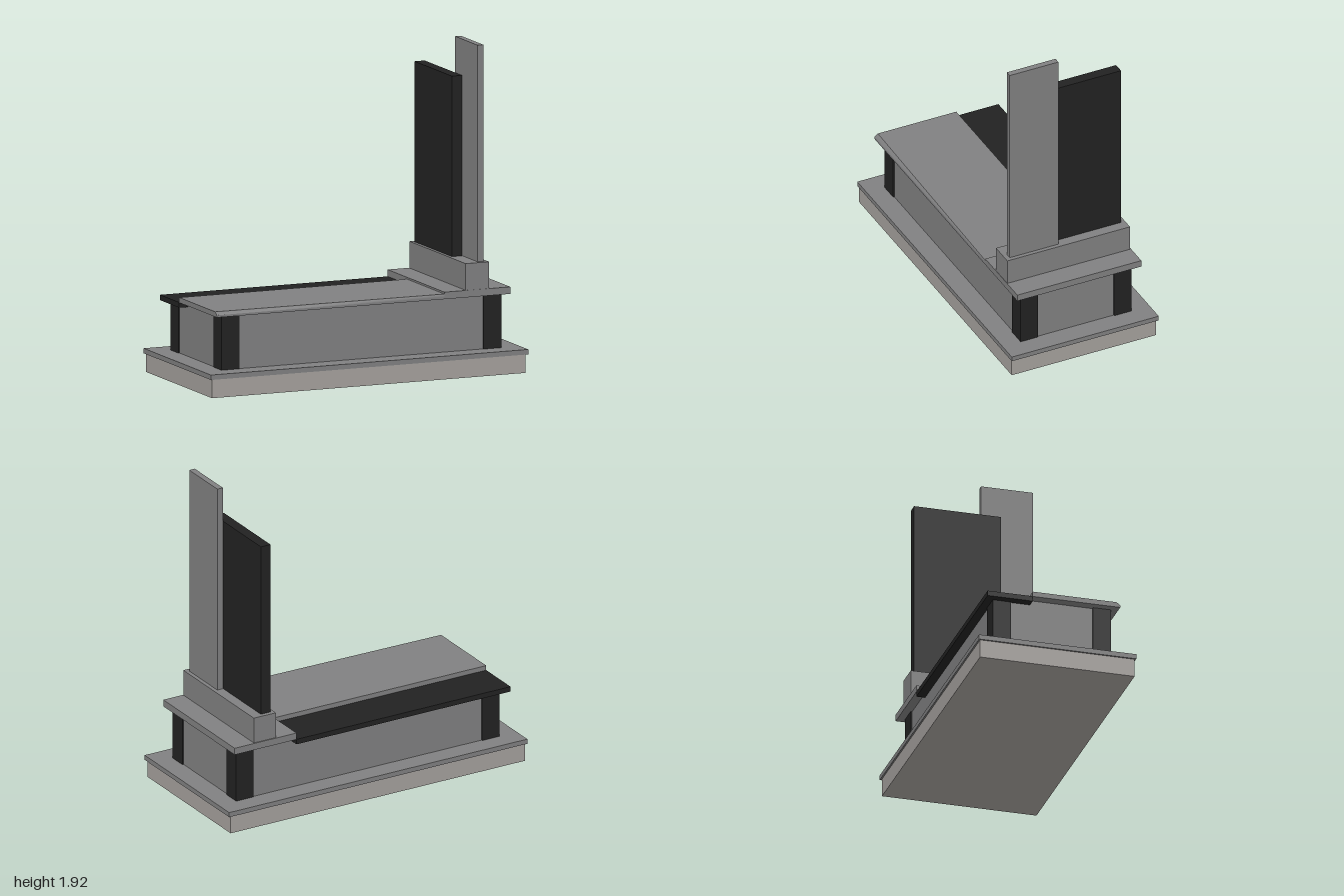
import * as THREE from 'three';

export function createModel() {
  const root = new THREE.Group();
  root.name = 'monument';
  const make = (name, color) => {
    const m = new THREE.MeshStandardMaterial({ color });
    m.name = name;
    return m;
  };
  const grey = make('grey granite', 0x808081);
  const black = make('black granite', 0x222222);
  const stone = make('pale foundation stone', 0xa5a19d);

  // Box given by its limits on each axis
  function block(name, mat, [x0, x1], [y0, y1], [z0, z1]) {
    const g = new THREE.BoxGeometry(x1 - x0, y1 - y0, z1 - z0);
    g.translate((x0 + x1) / 2, (y0 + y1) / 2, (z0 + z1) / 2);
    const mesh = new THREE.Mesh(g, mat);
    mesh.name = name;
    root.add(mesh);
    return mesh;
  }

  // Foundation and the two-piece plinth slab above it
  block('foundation', stone, [-0.99, 0.985], [0, 0.108], [-0.463, 0.463]);
  block('plinthSlabLong', grey, [-1, 0.84], [0.108, 0.137], [-0.472, 0.47]);
  block('plinthSlabHead', grey, [0.84, 1], [0.108, 0.137], [-0.472, 0.47]);

  // Tomb walls with black corner posts
  block('tombWalls', grey, [-0.875, 0.875], [0.137, 0.452], [-0.348, 0.348]);
  for (const sx of [-1, 1]) {
    for (const sz of [-1, 1]) {
      const post = block('cornerPost', black, [-0.0575, 0.0575], [0.137, 0.455], [-0.055, 0.055]);
      post.position.set(sx * 0.825, 0, sz * 0.3);
    }
  }

  // Lid: grey slab whose front chamfer tapers toward the head, and a lower black strip
  block('lidSlab', grey, [-0.93, 0.505], [0.455, 0.468], [-0.13, 0.395]);
  const top = block('lidTop', grey, [-0.93, 0.505], [0.468, 0.485], [-0.13, 0.395]);
  const p = top.geometry.attributes.position;
  for (let i = 0; i < p.count; i++) {
    if (p.getX(i) < 0 && p.getY(i) > 0.48 && p.getZ(i) > 0) p.setZ(i, 0.373);
  }
  top.geometry.computeVertexNormals();
  block('lidStrip', black, [-0.93, 0.505], [0.425, 0.456], [-0.4, -0.13]);

  // Head slab, pedestal and the two upright stelae
  block('headSlab', grey, [0.505, 0.92], [0.455, 0.496], [-0.4, 0.395]);
  block('pedestal', grey, [0.64, 0.787], [0.496, 0.652], [-0.393, 0.393]);
  block('blackStele', black, [0.66, 0.724], [0.652, 1.706], [-0.367, 0.155]);
  block('greyStele', grey, [0.726, 0.763], [0.652, 1.917], [0.054, 0.366]);

  return root;
}
